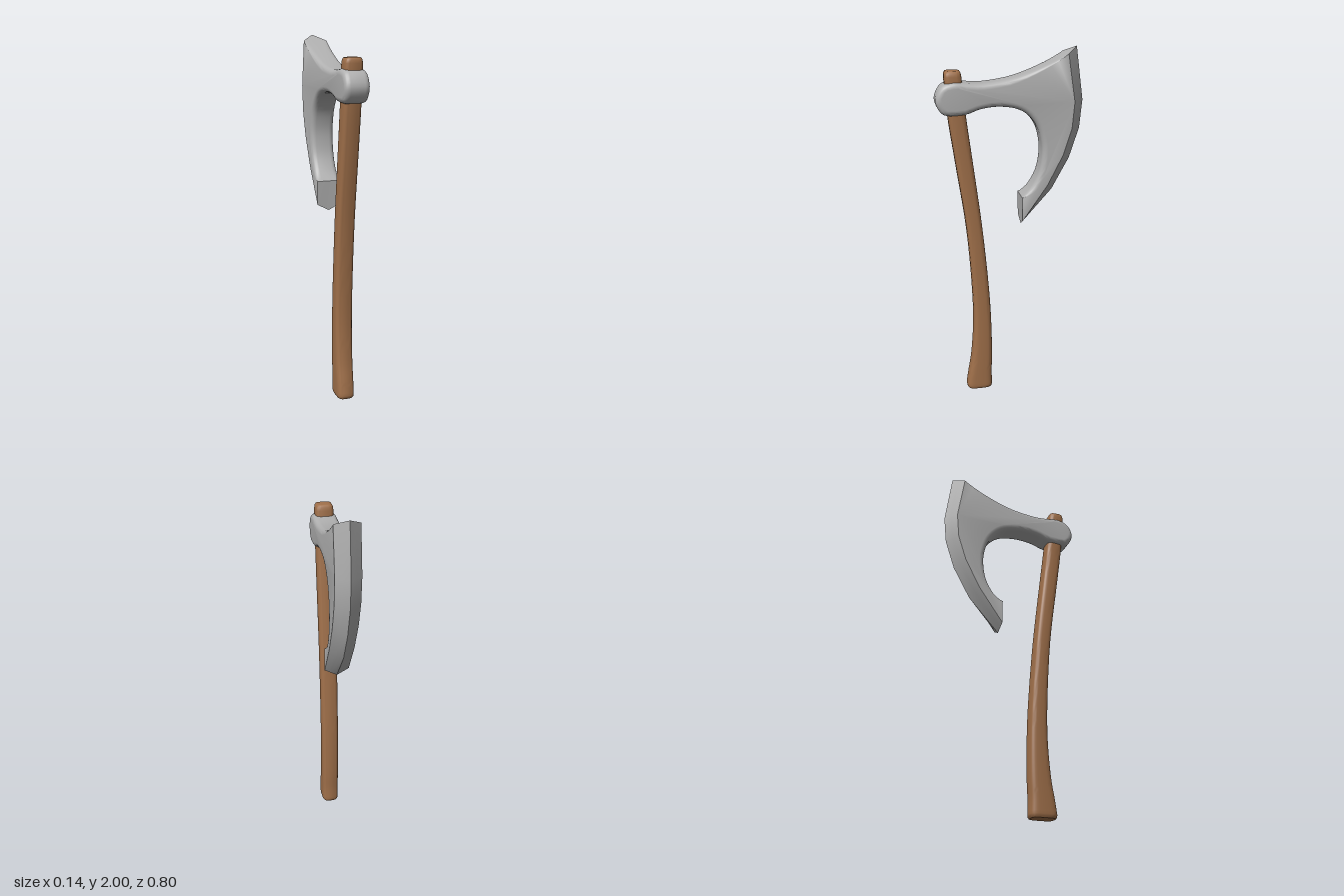
import * as THREE from 'three';
import { toCreasedNormals } from 'three/addons/utils/BufferGeometryUtils.js';

const V2 = (p) => new THREE.Vector2(p[0], p[1]);

function makeGeometry(positions, index, crease) {
  const g = new THREE.BufferGeometry();
  g.setAttribute('position', new THREE.Float32BufferAttribute(positions, 3));
  g.setIndex(index);
  return toCreasedNormals(g, crease);
}

// Axe head: one side outline (z, y) repeated in layers across x.
// Outline points are rounded off at the cheeks; cutting-edge points run to a ridge at x = 0.
function headGeometry() {
  const halfWidth = 0.068, round = 0.03, samples = 72;
  const body = new THREE.SplineCurve([
    // hook and underside of the beard
    [-0.058, 1.195], [-0.108, 1.245], [-0.153, 1.33], [-0.17, 1.43], [-0.164, 1.51],
    [-0.138, 1.59], [-0.085, 1.655], [-0.02, 1.688], [0.074, 1.7], [0.164, 1.69],
    // poll
    [0.243, 1.664], [0.335, 1.66], [0.378, 1.685], [0.4, 1.745], [0.368, 1.812],
    // top side out to the upper tip
    [0.305, 1.835], [0.243, 1.829], [0.14, 1.825], [-0.02, 1.85], [-0.18, 1.908], [-0.3, 1.967],
  ].map(V2));
  // cutting edge, upper tip to lower tip: [bevel z, bevel y, ridge z, ridge y]
  const edge = [
    [-0.3, 1.967, -0.36, 2.0], [-0.34, 1.715, -0.4, 1.715], [-0.328, 1.57, -0.386, 1.56],
    [-0.282, 1.425, -0.333, 1.395], [-0.198, 1.26, -0.238, 1.22], [-0.06, 1.06, -0.063, 1.025],
  ];

  // layers: x position and how far the rounding has pulled in
  const side = [];
  for (let k = 0; k <= 5; k++) {
    const a = (k / 5) * Math.PI / 2;
    side.push([halfWidth - round + round * Math.sin(a), round * (1 - Math.cos(a))]);
  }
  const layers = [...side.map(([x, inset]) => [-x, inset]).reverse(), [0, 0], ...side];

  const outline = ([x, inset]) => {
    const pts = [];
    for (let i = 0; i < samples; i++) {
      const p = body.getPoint(i / samples), d = body.getTangent(i / samples);
      const s = inset * Math.min(1, i / 4, (samples - i) / 8);
      pts.push(new THREE.Vector2(p.x - d.y * s, p.y + d.x * s));
    }
    const t = Math.abs(x) / halfWidth;
    for (const [bz, by, rz, ry] of edge) {
      pts.push(new THREE.Vector2(rz + (bz - rz) * t, ry + (by - ry) * t));
    }
    return pts;
  };

  const positions = [], index = [], n = samples + edge.length;
  for (const layer of layers) {
    for (const p of outline(layer)) positions.push(layer[0], p.y, p.x);
  }
  for (let j = 0; j < layers.length - 1; j++) {
    for (let i = 0; i < n; i++) {
      const a = j * n + i, b = j * n + (i + 1) % n;
      index.push(a, a + n, b + n, a, b + n, b);
    }
  }
  // flat cheeks
  const last = (layers.length - 1) * n;
  for (const [a, b, c] of THREE.ShapeUtils.triangulateShape(outline(layers[0]), [])) {
    index.push(a, b, c, last + a, last + c, last + b);
  }
  return makeGeometry(positions, index, 0.6);
}

// Haft: rounded-square sections along a curved centre line
function haftGeometry() {
  const halfWidth = 0.05, sides = 32, steps = 40;
  // [y, centre z, half depth]
  const path = new THREE.CatmullRomCurve3([
    [0.02, 0.187, 0.075], [0.1, 0.182, 0.068], [0.2, 0.172, 0.061], [0.4, 0.165, 0.052],
    [0.6, 0.17, 0.048], [1.0, 0.201, 0.044], [1.4, 0.253, 0.047], [1.66, 0.287, 0.048],
    [1.86, 0.304, 0.046],
  ].map((p) => new THREE.Vector3(...p)));
  const rings = [[0, 0.187, 0.068, 0.9], [0.007, 0.187, 0.073, 0.97]];
  for (let i = 0; i <= steps; i++) rings.push([...path.getPoint(i / steps).toArray(), 1]);
  rings.push([1.877, 0.305, 0.044, 0.95], [1.887, 0.305, 0.039, 0.84], [1.89, 0.305, 0.03, 0.65]);

  const positions = [], index = [];
  const soften = (v) => Math.sign(v) * Math.pow(Math.abs(v), 0.55);
  for (const [y, z, depth, scale] of rings) {
    for (let i = 0; i < sides; i++) {
      const a = (i / sides) * Math.PI * 2;
      positions.push(halfWidth * scale * soften(Math.sin(a)), y, z + depth * soften(Math.cos(a)));
    }
  }
  for (let j = 0; j < rings.length - 1; j++) {
    for (let i = 0; i < sides; i++) {
      const a = j * sides + i, b = j * sides + (i + 1) % sides;
      index.push(a, b, b + sides, a, b + sides, a + sides);
    }
  }
  // end faces
  const top = (rings.length - 1) * sides;
  for (let i = 1; i < sides - 1; i++) {
    index.push(0, i + 1, i, top, top + i, top + i + 1);
  }
  return makeGeometry(positions, index, 0.8);
}

export function createModel() {
  const steel = new THREE.MeshStandardMaterial({ color: 0xb0b0b0 });
  steel.name = 'steel';
  const wood = new THREE.MeshStandardMaterial({ color: 0xa0704a });
  wood.name = 'wood';

  const axe = new THREE.Group();
  axe.name = 'beardedAxe';
  const head = new THREE.Mesh(headGeometry(), steel);
  head.name = 'axeHead';
  const haft = new THREE.Mesh(haftGeometry(), wood);
  haft.name = 'haft';
  axe.add(head, haft);
  return axe;
}
